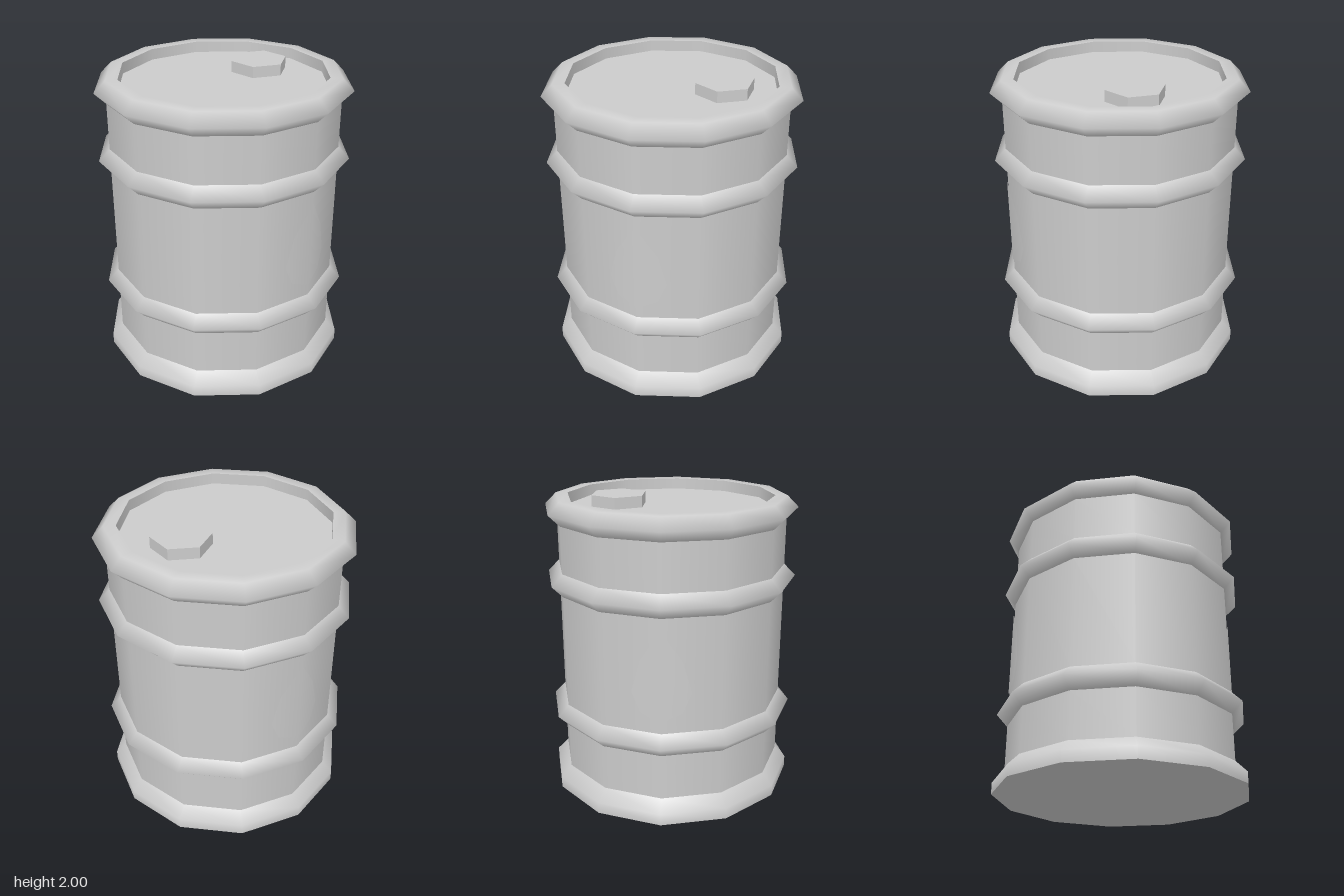
import * as THREE from 'three';

const SIDES = 12;
const R_BODY = 0.77, R_RING = 0.845, R_LID = 0.69, LID_Y = 1.925;

export function createModel() {
  const barrel = new THREE.Group();
  barrel.name = 'barrel';
  const smooth = new THREE.MeshStandardMaterial({ color: 0xcccccc });
  const faceted = new THREE.MeshStandardMaterial({ color: 0xcccccc, flatShading: true });
  const sheet = new THREE.MeshStandardMaterial({ color: 0xcccccc, side: THREE.DoubleSide });

  const add = (name, geometry, material = smooth) => {
    const mesh = new THREE.Mesh(geometry, material);
    mesh.name = name;
    barrel.add(mesh);
    return mesh;
  };
  // Each profile is its own lathe, so creases stay sharp between parts
  const turn = (name, profile) =>
    add(name, new THREE.LatheGeometry(profile.map(([r, y]) => new THREE.Vector2(r, y)), SIDES));

  // Bottom plate and flared foot
  turn('bottomPlate', [[0, 0], [R_RING, 0]]);
  turn('footRing', [[R_RING, 0], [R_RING, 0.077], [R_BODY, 0.154]]);

  // Wall bands between the rings
  [[0.154, 0.465], [0.62, 1.386], [1.54, 1.85]].forEach(([y0, y1]) =>
    turn('wallBand', [[R_BODY, y0], [R_BODY, y1]]));

  // Pointed reinforcing rings
  [[0.465, 0.62], [1.386, 1.54]].forEach(([y0, y1]) =>
    turn('hoop', [[R_BODY, y0], [R_RING, (y0 + y1) / 2], [R_BODY, y1]]));

  // Top rim, its inner wall and the sunken lid
  turn('topRim', [[R_BODY, 1.85], [R_RING, 1.925], [R_BODY, 2], [R_LID, 2]]);
  turn('rimInnerWall', [[R_LID, 2], [R_LID, LID_Y]]);
  turn('lid', [[R_LID, LID_Y], [0, LID_Y]]);

  // Hexagonal filler cap
  const cap = add('fillerCap', new THREE.CylinderGeometry(0.193, 0.193, 2 - LID_Y, 6), faceted);
  cap.position.set(0.345, (2 + LID_Y) / 2, 0);

  // Drop emblem, folded over the wall's corner, on front and back
  const half = [[0, 0.7], [0.135, 0.755], [0.19, 0.89], [0.135, 1.1], [0, 1.305]];
  const slope = Math.tan(Math.PI / SIDES);
  const dropHalf = (side) => {
    const points = half.map(([x, y]) => new THREE.Vector2(x * side, y));
    const geometry = new THREE.ShapeGeometry(new THREE.Shape(points));
    const pos = geometry.attributes.position, normal = geometry.attributes.normal;
    const n = new THREE.Vector3();
    for (let i = 0; i < pos.count; i++) {
      const x = pos.getX(i);
      pos.setZ(i, R_BODY + 0.007 - slope * Math.abs(x));
      n.set(x, 0, pos.getZ(i)).normalize();
      normal.setXYZ(i, n.x, n.y, n.z);
    }
    return geometry;
  };
  for (const turnY of [0, Math.PI])
    for (const side of [1, -1])
      add(turnY ? 'backDropEmblem' : 'frontDropEmblem', dropHalf(side), sheet).rotation.y = turnY;

  return barrel;
}
